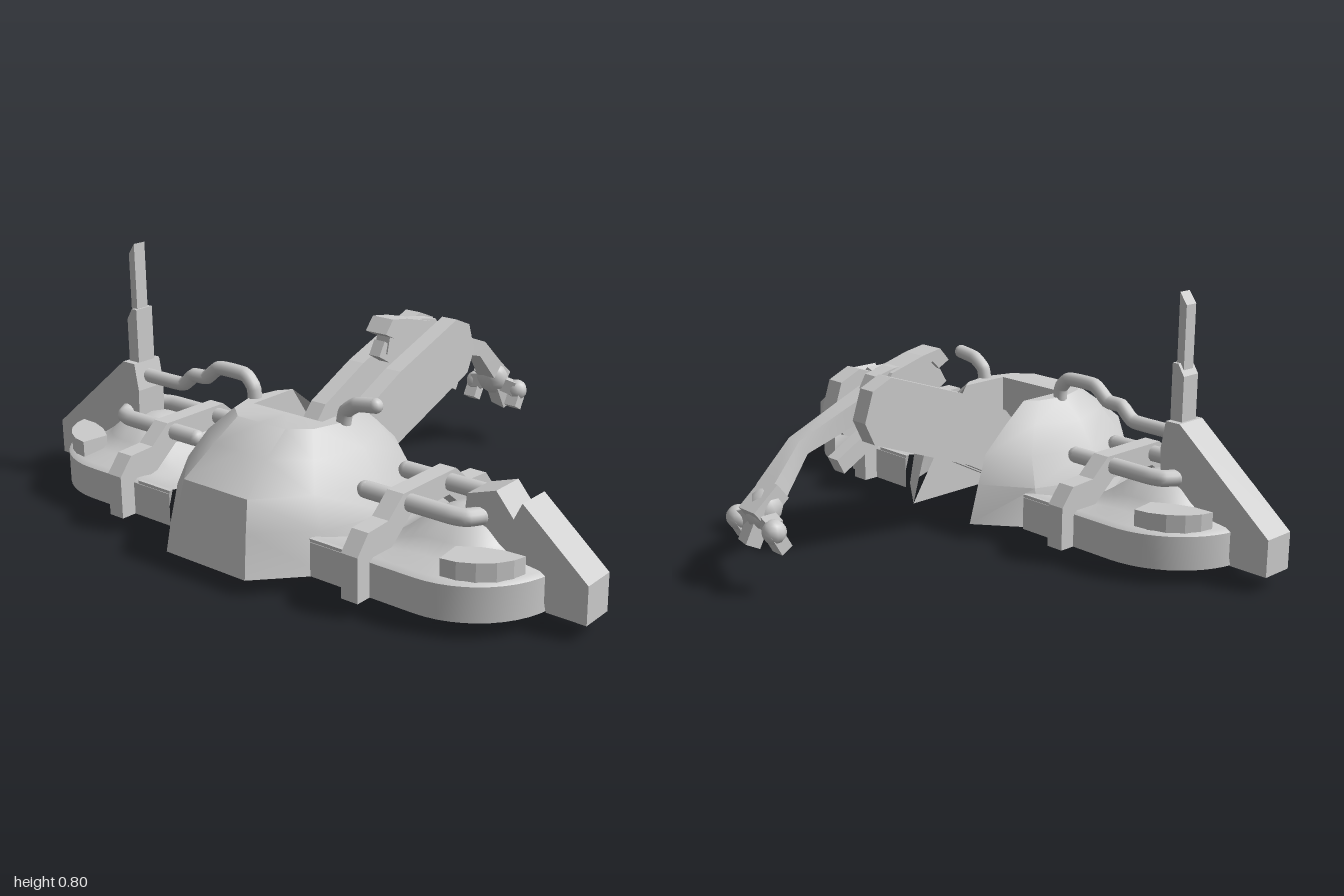
import * as THREE from 'three';
import { toCreasedNormals } from 'three/addons/utils/BufferGeometryUtils.js';

const CX = -0.355; // centre line of the hull
const mat = new THREE.MeshStandardMaterial({ color: 0xcccccc, side: THREE.DoubleSide });
const V = (x, y, z) => new THREE.Vector3(x, y, z);

function add(parent, name, geo) {
  const m = new THREE.Mesh(geo, mat);
  m.name = name;
  parent.add(m);
  return m;
}

// Flat plate drawn in x/y, centred on z
function plate(pts, depth, z = 0) {
  const shape = new THREE.Shape(pts.map(p => new THREE.Vector2(p[0], p[1])));
  return new THREE.ExtrudeGeometry(shape, { depth, bevelEnabled: false }).translate(0, 0, z - depth / 2);
}

// Flat plate drawn in z/y, centred on x
const sidePlate = (pts, width, x = CX) => plate(pts, width).rotateY(-Math.PI / 2).translate(x, 0, 0);

// Skin over rows of equally many points
function skin(rows, crease) {
  const pos = [];
  for (let i = 0; i + 1 < rows.length; i++) {
    for (let j = 0; j + 1 < rows[i].length; j++) {
      const [a, b, c, d] = [rows[i][j], rows[i][j + 1], rows[i + 1][j + 1], rows[i + 1][j]];
      for (const p of [a, c, b, a, d, c]) pos.push(...p);
    }
  }
  const g = new THREE.BufferGeometry();
  g.setAttribute('position', new THREE.Float32BufferAttribute(pos, 3));
  return toCreasedNormals(g, crease);
}

// Pipe with tight bends and rounded ends
function pipe(parent, name, pts, r) {
  const path = new THREE.CatmullRomCurve3(pts, false, 'catmullrom', 0.25);
  add(parent, name, new THREE.TubeGeometry(path, 48, r, 12));
  for (const p of [pts[0], pts[pts.length - 1]]) {
    add(parent, name + 'End', new THREE.SphereGeometry(r, 12, 8).translate(p.x, p.y, p.z));
  }
}

// Square bar from a to b
function bar(parent, name, a, b, h, w) {
  const d = b.clone().sub(a);
  const m = add(parent, name, new THREE.BoxGeometry(h, d.length(), w));
  m.position.copy(a).add(b).multiplyScalar(0.5);
  m.quaternion.setFromUnitVectors(V(0, 1, 0), d.normalize());
}

// Central shell, one half from the slot edge round to the back
function domeHalf() {
  const rings = [
    [0.05, [[0, 0.13], [-0.13, 0.295], [-0.36, 0.39], [-0.59, 0.3], [-0.75, 0.15], [-0.75, 0]]],
    [0.17, [[-0.035, 0.13], [-0.135, 0.275], [-0.36, 0.35], [-0.58, 0.275], [-0.72, 0.13], [-0.72, 0]]],
    [0.26, [[-0.065, 0.13], [-0.16, 0.235], [-0.36, 0.305], [-0.565, 0.24], [-0.7, 0.12], [-0.7, 0]]],
    [0.34, [[-0.155, 0.13], [-0.21, 0.195], [-0.36, 0.25], [-0.52, 0.2], [-0.6, 0.1], [-0.6, 0]]],
    [0.4, [[-0.23, 0.13], [-0.27, 0.16], [-0.36, 0.18], [-0.46, 0.15], [-0.51, 0.09], [-0.51, 0]]],
    [0.4, [[-0.23, 0.13], [-0.29, 0.13], [-0.34, 0.13], [-0.4, 0.13], [-0.4, 0.08], [-0.4, 0]]],
    [0.05, [[0, 0.13], [-0.13, 0.13], [-0.26, 0.13], [-0.4, 0.13], [-0.4, 0.08], [-0.4, 0]]],
  ];
  return skin(rings.map(([y, pts]) => pts.map(([x, z]) => [x, y, z])), 0.6);
}

// Hollow end pod: a U outline stepped inwards and upwards, sinking towards the dome
function podShell(notched) {
  const R = 0.265, ZC = 0.615;
  const profile = [[0, 0.05], [0, 0.15], [0.015, 0.16], [0.09, 0.17], [0.135, 0.2], [0.17, 0.235], [0.21, 0.25], [R, 0.26]];
  const rows = profile.map(([inset, y]) => {
    const r = R - inset, row = [];
    const put = (x, z) => {
      const rise = THREE.MathUtils.smoothstep(z, 0.33, 0.58);
      const h = y > 0.16 ? 0.16 + (y - 0.16) * rise - 0.05 * (1 - rise) * inset / R : y;
      // torn dent in the flank
      if (notched && x > 0.15) x -= 0.11 * Math.max(0, 1 - Math.abs(z - 0.6) / 0.05);
      row.push([CX + x, h, z]);
    };
    for (let i = 0; i < 10; i++) put(-r, 0.27 + (ZC - 0.27) * i / 10);
    for (let i = 0; i <= 24; i++) put(-r * Math.cos(Math.PI * i / 24), ZC + r * Math.sin(Math.PI * i / 24));
    for (let i = 9; i >= 0; i--) put(r, 0.27 + (ZC - 0.27) * i / 10);
    return row;
  });
  return skin(rows, 0.9);
}

function pod(name, fin, notched) {
  const g = new THREE.Group();
  g.name = name;
  add(g, 'podShell', podShell(notched));
  add(g, 'spineFin', sidePlate(fin, 0.105));

  // stepped rib arching over the pod
  const outer = [[-0.315, 0.05], [-0.315, 0.18], [-0.27, 0.235], [-0.185, 0.24], [-0.12, 0.295]];
  const inner = [[-0.09, 0.225], [-0.17, 0.16], [-0.255, 0.14], [-0.255, 0.05]];
  const flip = pts => pts.map(([x, y]) => [-x, y]).reverse();
  const rib = [...outer, ...flip(outer), ...flip(inner), ...inner];
  add(g, 'crossRib', plate(rib.map(([x, y]) => [x + CX, y]), 0.055, 0.447));

  for (const s of [-1, 1]) {
    // raised quarter pad
    const pad = [[0.235, 0.675], [0.228, 0.72], [0.205, 0.765], [0.17, 0.805], [0.13, 0.83], [0.092, 0.84],
      [0.095, 0.78], [0.115, 0.72], [0.15, 0.665]];
    add(g, 'endPad', plate(pad.map(([x, z]) => [CX + s * x, z]), 0.06).rotateX(Math.PI / 2).translate(0, 0.18, 0));
    // side pipe bending in to the fin
    pipe(g, 'sidePipe', [V(CX + s * 0.093, 0.262, 0.325), V(CX + s * 0.093, 0.262, 0.45),
      V(CX + s * 0.093, 0.262, 0.61), V(CX + s * 0.082, 0.262, 0.65), V(CX + s * 0.045, 0.262, 0.675)], 0.025);
    // skirt flap beside the dome
    add(g, 'skirtFlap', sidePlate([[0.3, 0.05], [0.268, 0.16], [0.4, 0.16], [0.4, 0.05]], 0.012, CX + s * 0.258));
  }
  return g;
}

function arm() {
  const g = new THREE.Group();
  g.name = 'arm';
  // twin upper arm plates
  const outline = [[-0.46, 0.002], [-0.36, 0.055], [-0.04, 0.22], [0.335, 0.36], [0.37, 0.43], [0.34, 0.52],
    [0.27, 0.55], [-0.02, 0.45], [-0.2, 0.365], [-0.48, 0.05]];
  for (const z of [0.088, -0.055]) add(g, 'upperArmPlate', plate(outline, 0.056, z));

  // elbow housing and levers between the plates
  add(g, 'elbowHousing', plate([[0.02, 0.48], [0.04, 0.56], [0.2, 0.555], [0.27, 0.54], [0.33, 0.44], [0.2, 0.42]], 0.05, 0.01));
  add(g, 'elbowCover', plate([[-0.005, 0.55], [0.03, 0.59], [0.1, 0.578], [0.22, 0.545], [0.24, 0.52], [0.17, 0.53],
    [0.06, 0.555], [0.035, 0.53]], 0.078, 0.01));
  bar(g, 'rearLever', V(0, 0.5, 0.01), V(0.05, 0.47, 0.01), 0.05, 0.04);
  bar(g, 'lowerLever', V(0.2, 0.405, 0.01), V(0.405, 0.293, 0.01), 0.052, 0.045);

  // forearm, tapering and bent once
  const section = (x, y, z, nx, ny, h, w) => [[1, 1], [1, -1], [-1, -1], [-1, 1], [1, 1]]
    .map(([a, b]) => [x + nx * h * a, y + ny * h * a, z + w * b]);
  add(g, 'forearm', skin([
    section(0.25, 0.48, 0.012, 0.37, 0.93, 0.035, 0.035),
    section(0.36, 0.44, 0.015, 0.38, 0.92, 0.032, 0.03),
    section(0.535, 0.378, 0.015, 0.55, 0.83, 0.026, 0.024),
    section(0.655, 0.27, -0.01, 0.7, 0.7, 0.032, 0.035),
  ], 0.4));

  // hand with stubby jointed fingers
  const palm = add(g, 'palm', new THREE.SphereGeometry(0.055, 12, 8));
  palm.scale.set(0.9, 1.15, 1);
  palm.rotation.z = 0.5;
  palm.position.set(0.68, 0.235, -0.015);
  bar(g, 'wristGuard', V(0.645, 0.285, -0.02), V(0.725, 0.22, -0.02), 0.06, 0.075);
  for (const z of [-0.103, 0.067]) {
    bar(g, 'knuckle', V(0.69, 0.22, -0.015), V(0.705, 0.2, z), 0.045, 0.045);
    const joint = add(g, 'fingerJoint', new THREE.SphereGeometry(0.035, 10, 8));
    joint.position.set(0.712, 0.195, z);
    bar(g, 'fingerTip', V(0.72, 0.2, z), V(0.685, 0.14, z), 0.04, 0.045);
  }
  bar(g, 'thumb', V(0.69, 0.21, -0.005), V(0.725, 0.135, 0), 0.045, 0.065);
  return g;
}

export function createModel() {
  const model = new THREE.Group();
  model.name = 'wreckedCraft';

  const dome = domeHalf();
  add(model, 'domeLeft', dome);
  add(model, 'domeRight', dome.clone()).scale.z = -1;

  // broken front pod, whole rear pod
  const foot = [[1, 0.16], [1, 0.05], [0.88, 0.05], [0.86, 0.14]];
  model.add(pod('frontPod', [[0.62, 0.22], [0.63, 0.315], [0.72, 0.345], [0.775, 0.28], [0.8, 0.33], ...foot], true));
  const rear = pod('rearPod', [[0.62, 0.22], [0.615, 0.34], [0.63, 0.425], [0.68, 0.425], ...foot], false);
  rear.scale.z = -1;
  model.add(rear);

  // mast
  add(model, 'mastBase', sidePlate([[-0.63, 0.38], [-0.63, 0.595], [-0.65, 0.595], [-0.672, 0.56], [-0.672, 0.38]], 0.065));
  add(model, 'mastBlade', sidePlate([[-0.637, 0.55], [-0.637, 0.8], [-0.662, 0.765], [-0.662, 0.55]], 0.043));

  // ridge pipes
  pipe(model, 'ridgePipe', [V(CX, 0.39, -0.168), V(CX, 0.43, -0.172), V(CX, 0.462, -0.205), V(CX, 0.462, -0.31),
    V(CX, 0.422, -0.365), V(CX, 0.418, -0.42), V(CX, 0.38, -0.47), V(CX, 0.378, -0.63)], 0.022);
  pipe(model, 'brokenPipe', [V(CX, 0.39, 0.17), V(CX, 0.43, 0.18), V(CX, 0.458, 0.22), V(CX, 0.468, 0.285)], 0.022);

  model.add(arm());
  return model;
}
